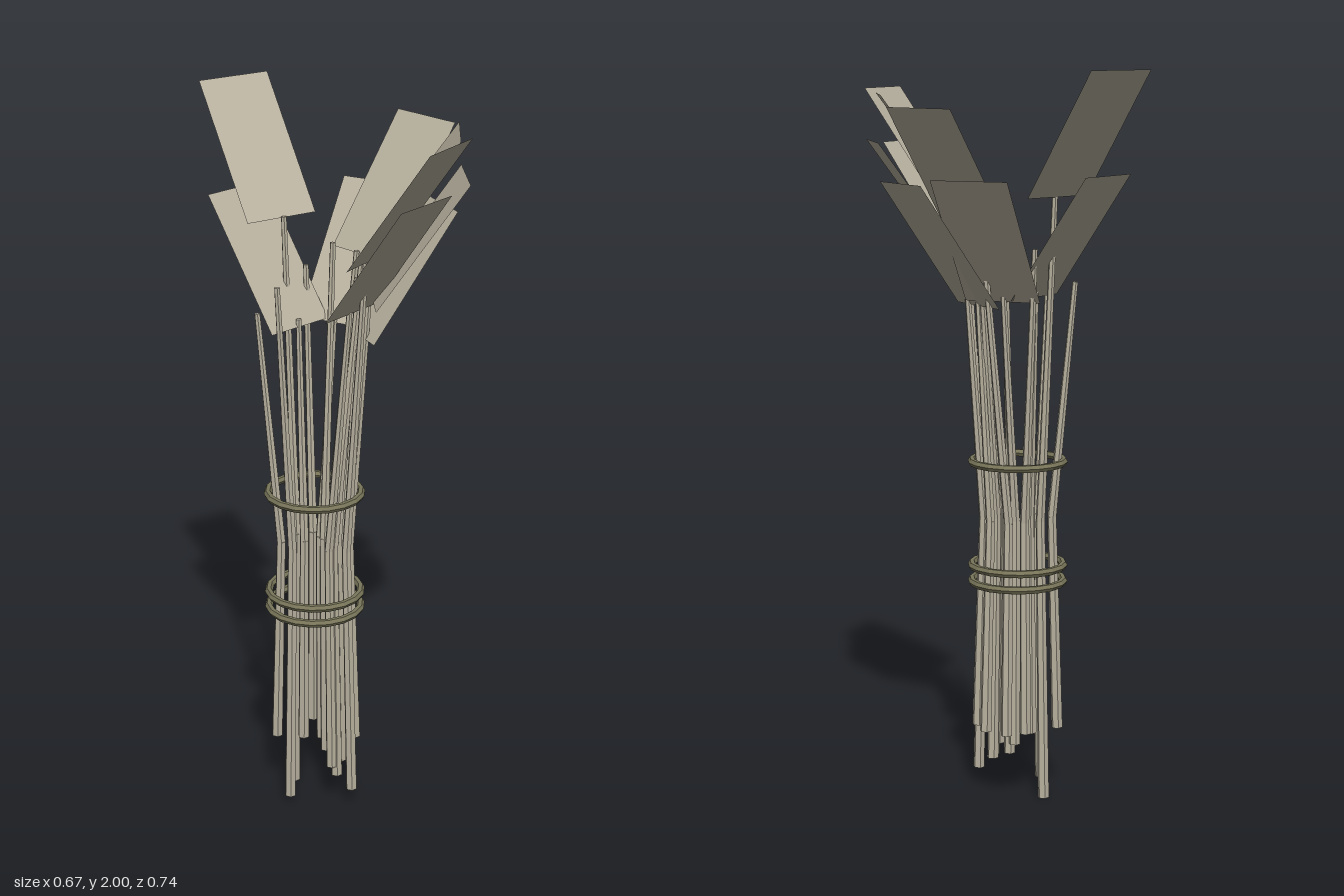
import * as THREE from 'three';

const stalkMat = new THREE.MeshStandardMaterial({ name: 'dry stalk', color: 0xbab3a1, flatShading: true });
const leafMat = new THREE.MeshStandardMaterial({ name: 'dry leaf', color: 0xbab3a1, side: THREE.DoubleSide });
const ringMat = new THREE.MeshStandardMaterial({ name: 'olive binding', color: 0x79765a, flatShading: true });

const CX = -0.065, CZ = 0.035; // axis of the bundle
const V = (p) => new THREE.Vector3(...p);

// tapered straight piece between two points
function rod(a, b, ra, rb, name) {
  const dir = b.clone().sub(a);
  const mesh = new THREE.Mesh(new THREE.CylinderGeometry(rb, ra, dir.length(), 6), stalkMat);
  mesh.position.copy(a).add(b).multiplyScalar(0.5);
  mesh.quaternion.setFromUnitVectors(new THREE.Vector3(0, 1, 0), dir.normalize());
  mesh.name = name;
  return mesh;
}

// stalk pinched at the waist, flaring to both ends
function stalk(bottom, top) {
  const g = new THREE.Group();
  g.name = 'stalk';
  const waist = new THREE.Vector3(CX + (bottom[0] - CX) * 0.85, 0.78, CZ + (bottom[2] - CZ) * 0.85);
  g.add(rod(V(bottom), waist, 0.016, 0.013, 'lowerStalk'));
  g.add(rod(waist, V(top), 0.013, 0.008, 'upperStalk'));
  return g;
}

// flat leaf leaning outward: two top corners (x, z) and top height
function leaf([x1, z1, x2, z2, y]) {
  const run = 0.24, drop = 0.335;
  const out = new THREE.Vector2(z2 - z1, x1 - x2).normalize();
  if (out.x * ((x1 + x2) / 2 - CX) + out.y * ((z1 + z2) / 2 - CZ) < 0) out.negate();
  out.multiplyScalar(run);
  const geo = new THREE.BufferGeometry();
  geo.setAttribute('position', new THREE.Float32BufferAttribute([
    x1, y, z1, x2, y, z2,
    x2 - out.x, y - drop, z2 - out.y, x1 - out.x, y - drop, z1 - out.y,
  ], 3));
  geo.setIndex([0, 1, 2, 0, 2, 3]);
  geo.computeVertexNormals();
  const mesh = new THREE.Mesh(geo, leafMat);
  mesh.name = 'leaf';
  return mesh;
}

export function createModel() {
  const model = new THREE.Group();
  model.name = 'stalkBundle';

  // stalks: bottom point, top point
  [
    [[-0.115, 0.0, -0.06], [-0.13, 1.67, -0.1]],
    [[-0.095, 0.17, 0.0], [-0.1, 1.41, -0.02]],
    [[-0.04, 0.15, -0.03], [0.0, 1.4, -0.06]],
    [[-0.005, 0.19, -0.075], [0.06, 1.58, -0.065]],
    [[0.045, 0.19, 0.05], [0.08, 1.48, 0.04]],
    [[-0.01, 0.09, 0.085], [0.06, 1.6, 0.05]],
    [[0.04, 0.19, -0.02], [0.055, 1.39, 0.0]],
    [[0.03, 0.05, 0.1], [0.06, 1.61, 0.13]],
    [[-0.025, 0.12, 0.09], [0.02, 1.47, 0.115]],
    [[-0.17, 0.18, 0.0], [-0.21, 1.43, -0.02]],
    [[-0.14, 0.02, 0.065], [-0.165, 1.53, 0.075]],
    [[-0.06, 0.19, -0.07], [-0.07, 1.53, -0.12]],
    [[-0.03, 0.12, -0.01], [-0.005, 1.61, -0.05]],
    [[0.01, 0.1, 0.02], [0.055, 1.52, -0.02]],
  ].forEach(([b, t]) => model.add(stalk(b, t)));

  // leaves: top edge corners and height
  [
    [-0.337, -0.275, -0.148, -0.37, 2.0],
    [-0.327, -0.14, -0.165, -0.27, 1.725],
    [0.055, -0.312, 0.228, -0.187, 1.72],
    [0.2, -0.298, 0.328, -0.125, 1.905],
    [0.335, -0.055, 0.325, 0.157, 1.81],
    [0.322, -0.023, 0.292, 0.19, 1.933],
    [0.25, -0.175, 0.315, 0.027, 1.705],
    [0.187, 0.367, 0.32, 0.202, 1.945],
    [0.118, 0.36, 0.269, 0.208, 1.8],
  ].forEach((l) => model.add(leaf(l)));

  // binding rings
  for (const y of [0.6, 0.645, 0.935]) {
    const ring = new THREE.Mesh(new THREE.TorusGeometry(0.127, 0.011, 6, 18), ringMat);
    ring.rotation.x = Math.PI / 2;
    ring.position.set(CX, y, CZ);
    ring.name = 'bindingRing';
    model.add(ring);
  }
  return model;
}
